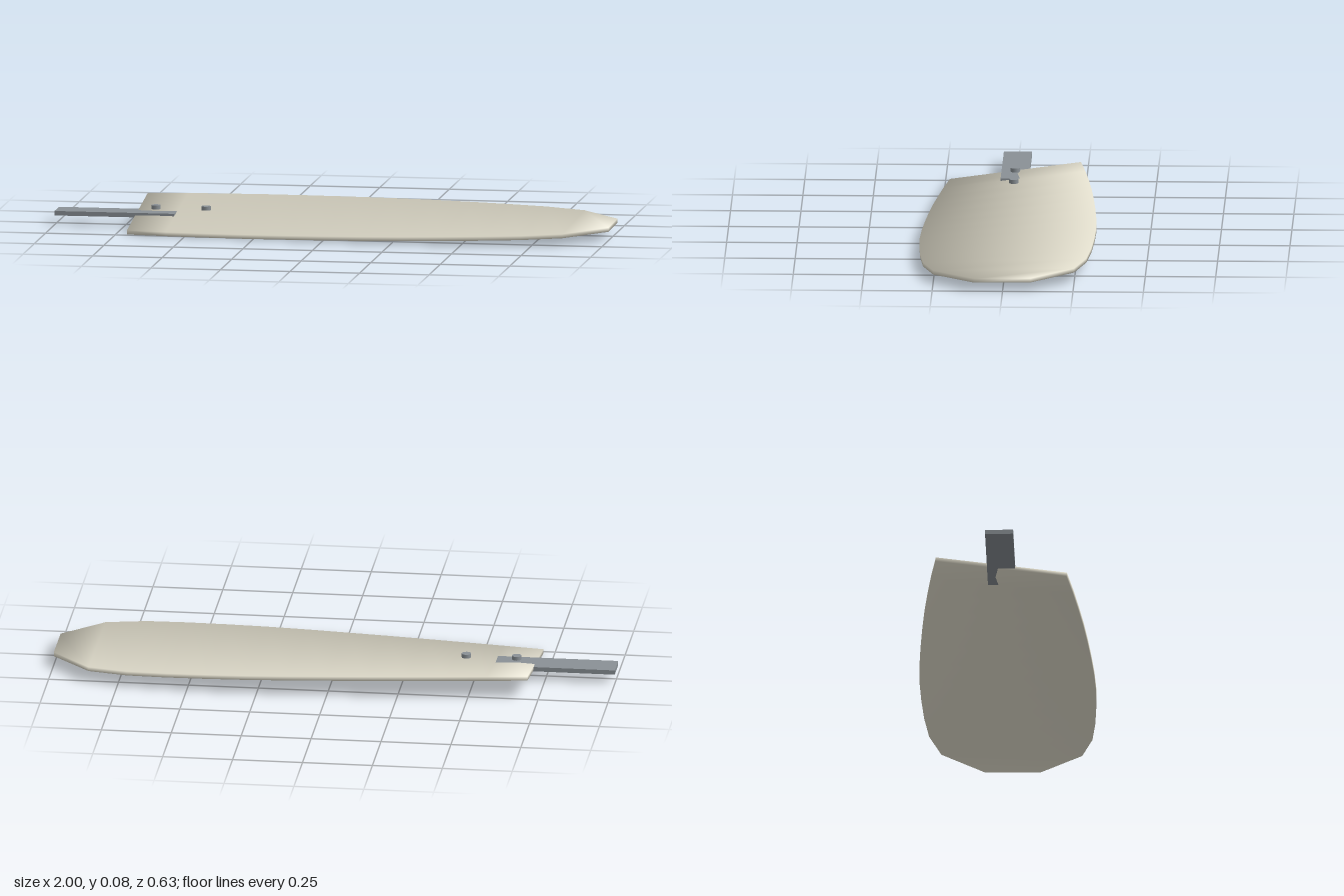
import * as THREE from 'three';

const MID_Y = 0.04;
const THICKNESS = 0.015;
const ROOT_X = -0.71;
const TIP_X = 1;
// half widths at even steps from root to tip
const HALF_WIDTHS = [0.235, 0.254, 0.27, 0.284, 0.295, 0.304, 0.311, 0.314, 0.311, 0.304, 0.29, 0.25, 0.1];
// section corners as [y sign, z sign]
const CORNERS = [[1, -1], [1, 1], [-1, 1], [-1, -1]];

// Thin plank of four-cornered sections, twisted from root to tip, softly shaded over its edges
function bladeGeometry() {
  const positions = [], normals = [], index = [];
  const last = HALF_WIDTHS.length - 1;
  HALF_WIDTHS.forEach((half, i) => {
    const t = i / last;
    const pitch = THREE.MathUtils.degToRad(THREE.MathUtils.lerp(7.9, 0.6, t));
    const endwise = i === 0 ? -1 : i === last ? 1 : 0;
    for (const [sy, sz] of CORNERS) {
      const p = new THREE.Vector3(0, sy * THICKNESS / 2, sz * half);
      p.applyAxisAngle(new THREE.Vector3(1, 0, 0), pitch);
      // positive pitch about x would lower +y toward +z; the +z edge must sit low
      p.y = sy * THICKNESS / 2 * Math.cos(pitch) - sz * half * Math.sin(pitch);
      positions.push(THREE.MathUtils.lerp(ROOT_X, TIP_X, t), MID_Y + p.y, p.z);
      const n = new THREE.Vector3(endwise, sy, sz).normalize();
      n.applyAxisAngle(new THREE.Vector3(1, 0, 0), pitch);
      normals.push(n.x, n.y, n.z);
    }
  });
  for (let i = 0; i < last; i++) {
    for (let k = 0; k < 4; k++) {
      const a = i * 4 + k, b = i * 4 + (k + 1) % 4;
      index.push(a, b, b + 4, a, b + 4, a + 4);
    }
  }
  const e = last * 4;
  index.push(0, 2, 1, 0, 3, 2, e, e + 1, e + 2, e, e + 2, e + 3);
  const geometry = new THREE.BufferGeometry();
  geometry.setAttribute('position', new THREE.Float32BufferAttribute(positions, 3));
  geometry.setAttribute('normal', new THREE.Float32BufferAttribute(normals, 3));
  geometry.setIndex(index);
  return geometry;
}

export function createModel() {
  const group = new THREE.Group();
  group.name = 'fanBlade';
  const cream = new THREE.MeshStandardMaterial({ color: 0xe0dccb });
  const metal = new THREE.MeshStandardMaterial({ color: 0x8a9196 });

  const add = (name, geometry, material, x = 0, y = 0, z = 0) => {
    const mesh = new THREE.Mesh(geometry, material);
    mesh.name = name;
    mesh.position.set(x, y, z);
    group.add(mesh);
  };

  add('blade', bladeGeometry(), cream);

  // Flat mounting arm, partly sunk into the blade root
  add('bracket', new THREE.BoxGeometry(0.43, 0.016, 0.1), metal, -0.785, 0.042, 0);

  // Two screw heads along the centre line
  [-0.643, -0.463].forEach((x, i) => {
    add(`screw${i + 1}`, new THREE.CylinderGeometry(0.017, 0.017, 0.014, 12), metal, x, 0.066, 0);
  });

  return group;
}
